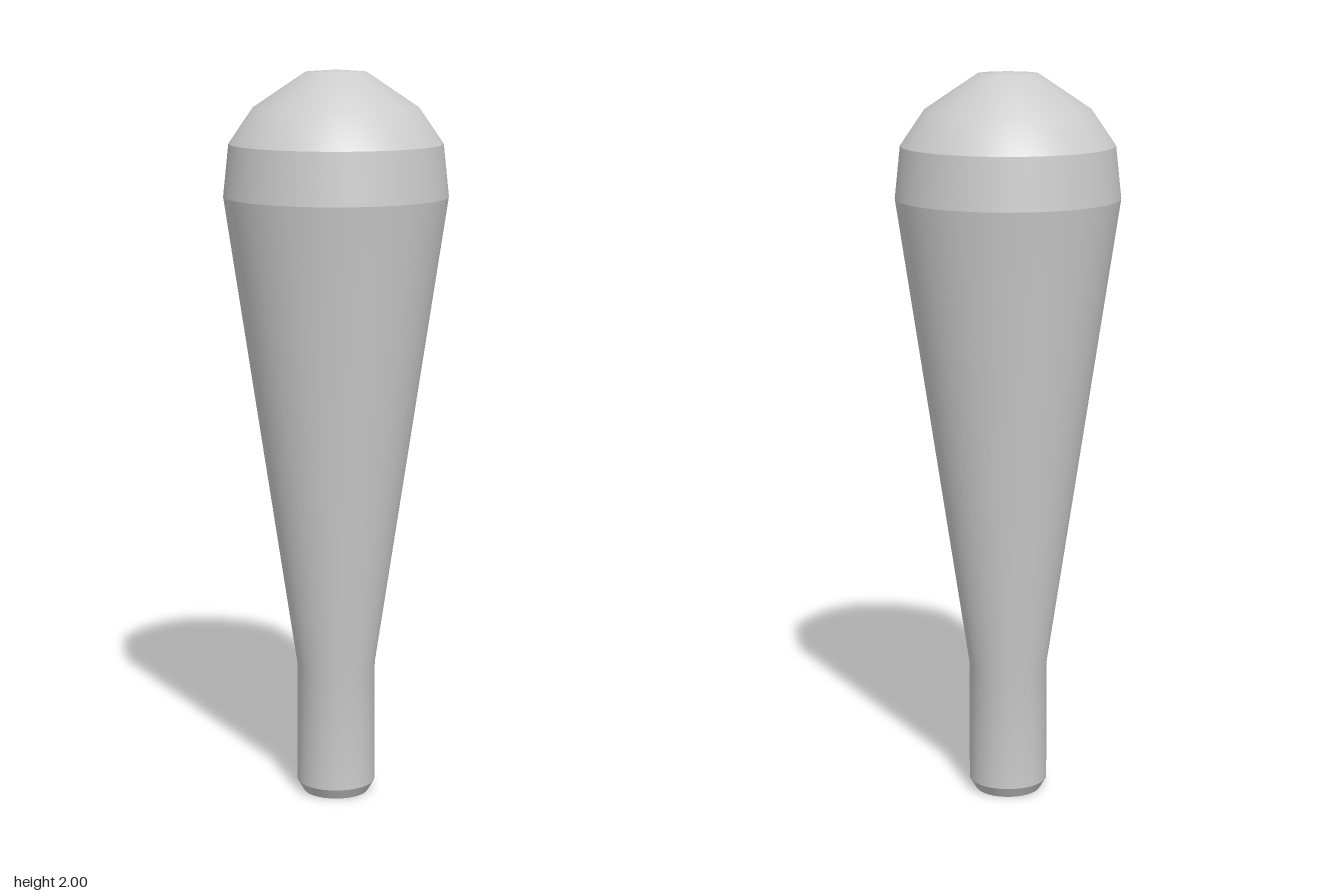
import * as THREE from 'three';

const SEGMENTS = 64;

export function createModel() {
  const group = new THREE.Group();
  group.name = 'club';
  const material = new THREE.MeshStandardMaterial({ color: 0xcccccc });

  // Each part is a smooth lathe; the seams between parts stay sharp.
  const addLathe = (name, profile) => {
    const points = profile.map(([r, y]) => new THREE.Vector2(r, y));
    const mesh = new THREE.Mesh(new THREE.LatheGeometry(points, SEGMENTS), material);
    mesh.name = name;
    group.add(mesh);
  };

  addLathe('buttCap', [[0, 0], [0.09, 0]]);
  addLathe('buttBevel', [[0.09, 0], [0.108, 0.03]]);
  // Straight grip flowing into the tapered body
  addLathe('gripAndBody', [[0.108, 0.03], [0.108, 0.37], [0.302, 1.665]]);
  addLathe('shoulderBand', [[0.302, 1.665], [0.287, 1.805]]);
  // Faceted outline, smoothly shaded
  addLathe('dome', [[0.287, 1.805], [0.222, 1.9], [0.082, 1.994], [0, 2]]);

  return group;
}
